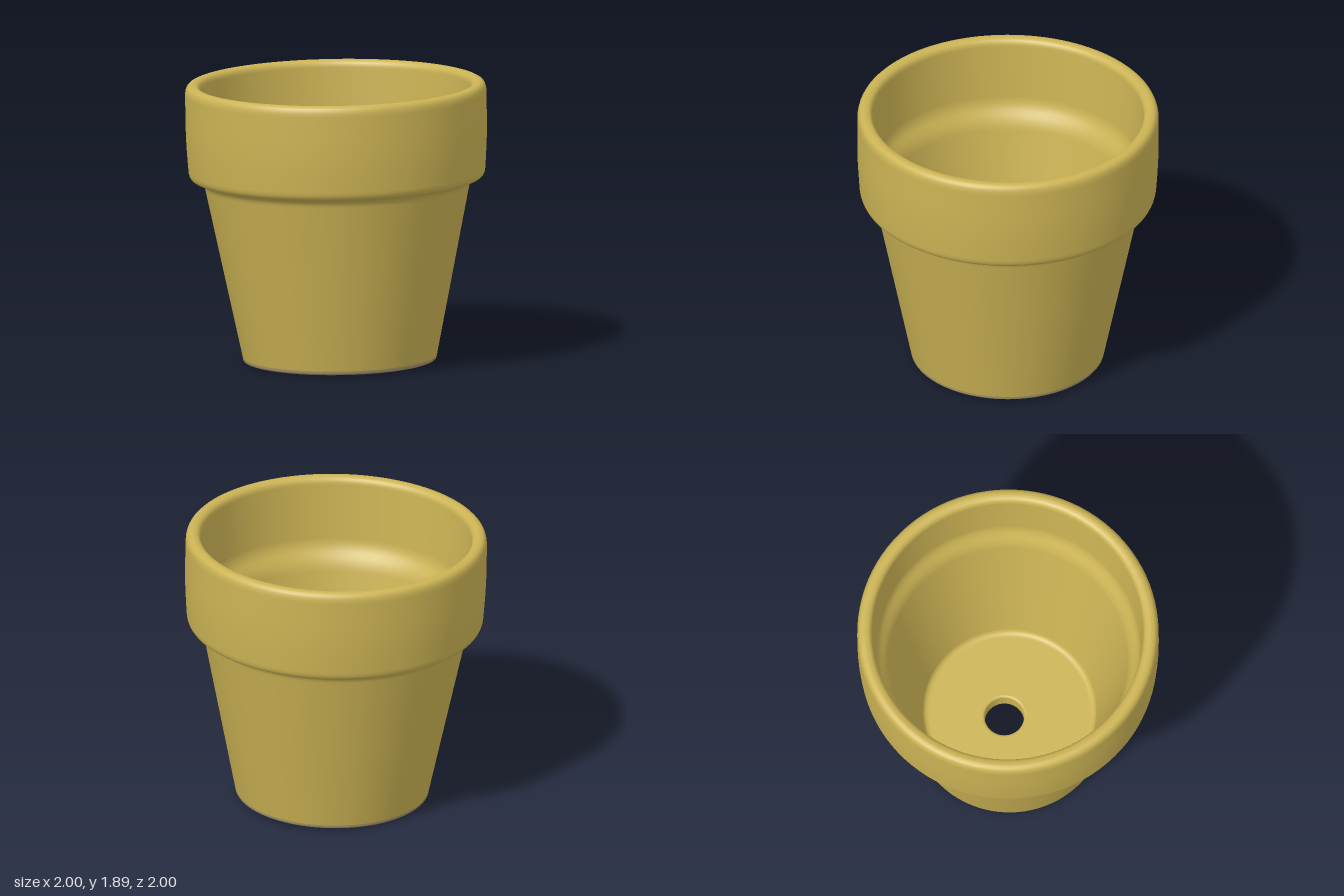
import * as THREE from 'three';

// Turns corners [radius, height, rounding] into a profile with rounded corners.
function roundedProfile(corners) {
  const pts = [];
  corners.forEach(([r, y, f], i) => {
    const p = new THREE.Vector2(r, y);
    if (!f || i === 0 || i === corners.length - 1) { pts.push(p); return; }
    const toward = ([qr, qy]) => {
      const d = new THREE.Vector2(qr, qy).sub(p);
      return p.clone().addScaledVector(d, Math.min(f / d.length(), 0.48));
    };
    const curve = new THREE.QuadraticBezierCurve(toward(corners[i - 1]), p, toward(corners[i + 1]));
    pts.push(...curve.getPoints(6));
  });
  return pts;
}

const SEGMENTS = 96;
const FLOOR = 0.18;

export function createModel() {
  const clay = new THREE.MeshStandardMaterial({ color: 0xcbb354 });
  clay.name = 'ochre clay';
  const worn = new THREE.MeshStandardMaterial({ color: 0x877c6c });
  worn.name = 'worn grey';
  const scuffed = new THREE.MeshStandardMaterial({ color: 0xa5956a });
  scuffed.name = 'scuffed clay';

  const pot = new THREE.Group();
  pot.name = 'flowerPot';
  const add = (name, geometry, material) => {
    const mesh = new THREE.Mesh(geometry, material);
    mesh.name = name;
    pot.add(mesh);
  };

  // Outer wall, rolled collar, inside wall, floor and drain hole
  const wall = new THREE.LatheGeometry(roundedProfile([
    [0.643, 0.03],
    [0.881, 1.195, 0.03],
    [0.915, 1.222, 0.03],
    [0.98, 1.235, 0.05],
    [0.998, 1.5, 0.12],
    [0.998, 1.863, 0.07],
    [0.9, 1.863, 0.05],
    [0.872, 1.39, 0.05],
    [0.8, 1.28, 0.05],
    [0.57, FLOOR, 0.04],
    [0.13, FLOOR, 0.02],
    [0.13, 0.045, 0.015],
    [0.3, 0.045],
  ]), SEGMENTS);

  // Recessed underside around the hole
  const underside = new THREE.LatheGeometry(roundedProfile([
    [0.3, 0.045],
    [0.53, 0.045, 0.02],
    [0.56, 0.006],
  ]), SEGMENTS);

  // The hole sits a little off the axis
  const pos = wall.attributes.position;
  for (let i = 0; i < pos.count; i++) {
    if (Math.hypot(pos.getX(i), pos.getZ(i)) < 0.2) pos.setX(i, pos.getX(i) - 0.04);
  }
  add('potBody', wall, clay);
  add('underside', underside, clay);

  // Worn foot ring, with a scuffed edge blending into the wall
  add('footRing', new THREE.LatheGeometry(roundedProfile([
    [0.56, 0.006],
    [0.57, 0, 0.008],
    [0.615, 0, 0.01],
    [0.632, 0.006],
  ]), SEGMENTS), worn);
  add('footEdge', new THREE.LatheGeometry(roundedProfile([
    [0.632, 0.006],
    [0.64, 0.012, 0.01],
    [0.643, 0.03],
  ]), SEGMENTS), scuffed);

  // Sloping clump of clay left between the floor and the wall
  const STEPS = 12;
  const a = new THREE.Vector2(-0.57, 0.02), b = new THREE.Vector2(-0.2, 0.54);
  const angleA = Math.atan2(a.y, a.x), angleB = Math.atan2(b.y, b.x);
  const verts = [], index = [];
  for (let i = 0; i <= STEPS; i++) {
    const t = i / STEPS;
    const p = a.clone().lerp(b, t);
    const rise = 0.16 * Math.sin(Math.PI * t);
    const angle = angleA + (angleB - angleA) * t;
    const r = 0.575 + 0.21 * rise;
    verts.push(p.x, FLOOR + 0.003, p.y);
    verts.push(Math.cos(angle) * r, FLOOR + 0.003 + rise, Math.sin(angle) * r);
    if (i < STEPS) {
      const k = i * 2;
      index.push(k, k + 2, k + 1, k + 1, k + 2, k + 3);
    }
  }
  const clump = new THREE.BufferGeometry();
  clump.setAttribute('position', new THREE.Float32BufferAttribute(verts, 3));
  // Wind the strip so that it faces up
  for (let i = 0; i < index.length; i += 3) {
    const [p, q, s] = [0, 1, 2].map(j => new THREE.Vector3().fromArray(verts, index[i + j] * 3));
    if (q.sub(p).cross(s.sub(p)).y < 0) [index[i + 1], index[i + 2]] = [index[i + 2], index[i + 1]];
  }
  clump.setIndex(index);
  clump.computeVertexNormals();
  add('clayClump', clump, clay);

  // The pot leans very slightly
  pot.rotation.set(0.009, 0, 0.013);
  pot.position.set(0.018, 0.01, -0.01);

  const model = new THREE.Group();
  model.name = 'model';
  model.add(pot);
  return model;
}
